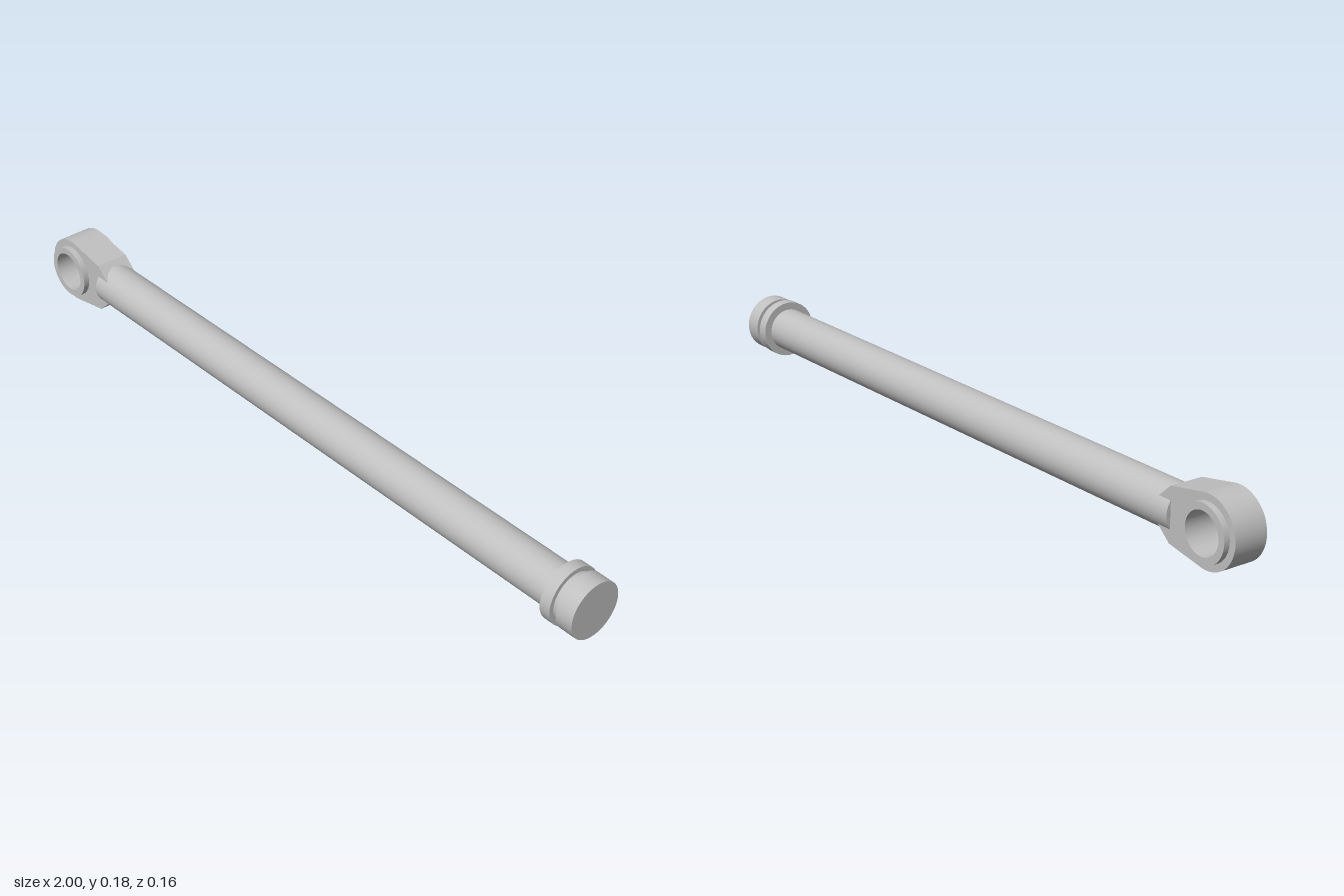
import * as THREE from 'three';

export function createModel() {
  const model = new THREE.Group();
  model.name = 'pistonRod';
  const steel = new THREE.MeshStandardMaterial({ color: 0xc0c0c0 });
  steel.name = 'steel grey';

  const axisY = 0.09;
  const eyeX = -0.91;

  const add = (name, geometry, x = 0) => {
    const mesh = new THREE.Mesh(geometry, steel);
    mesh.name = name;
    mesh.position.set(x, axisY, 0);
    model.add(mesh);
  };

  // Round parts along the x axis
  const round = (name, x0, x1, radius) => {
    const geometry = new THREE.CylinderGeometry(radius, radius, x1 - x0, 64);
    geometry.rotateZ(-Math.PI / 2);
    add(name, geometry, (x0 + x1) / 2);
  };
  round('rod', -0.79, 0.91, 0.0575);
  round('pistonRing', 0.905, 0.935, 0.0775);
  round('pistonGroove', 0.93, 0.955, 0.065);
  round('pistonHead', 0.952, 1, 0.0755);

  // Eye plate: round end, tapering neck and chamfered shoulders sunk into the rod
  const r = 0.09;
  const tilt = 1.4; // angle at which the neck leaves the round end
  const outline = new THREE.Shape();
  outline.absarc(0, 0, r, tilt, Math.PI * 2 - tilt, false);
  outline.lineTo(0.122, -0.069);
  outline.lineTo(0.162, -0.033);
  outline.lineTo(0.162, 0.033);
  outline.lineTo(0.122, 0.069);
  outline.closePath();
  const bore = new THREE.Path();
  bore.absarc(0, 0, 0.06, 0, Math.PI * 2, true);
  outline.holes.push(bore);
  const plate = new THREE.ExtrudeGeometry(outline, { depth: 0.092, bevelEnabled: false, curveSegments: 48 });
  plate.translate(0, 0, -0.046);
  add('eyePlate', plate, eyeX);

  // Bushing: a sleeve through the eye, standing proud on both sides
  const ring = new THREE.Shape();
  ring.absarc(0, 0, 0.072, 0, Math.PI * 2, false);
  const hole = new THREE.Path();
  hole.absarc(0, 0, 0.054, 0, Math.PI * 2, true);
  ring.holes.push(hole);
  const bushing = new THREE.ExtrudeGeometry(ring, { depth: 0.124, bevelEnabled: false, curveSegments: 64 });
  bushing.translate(0, 0, -0.062);
  add('bushing', bushing, eyeX);

  return model;
}
